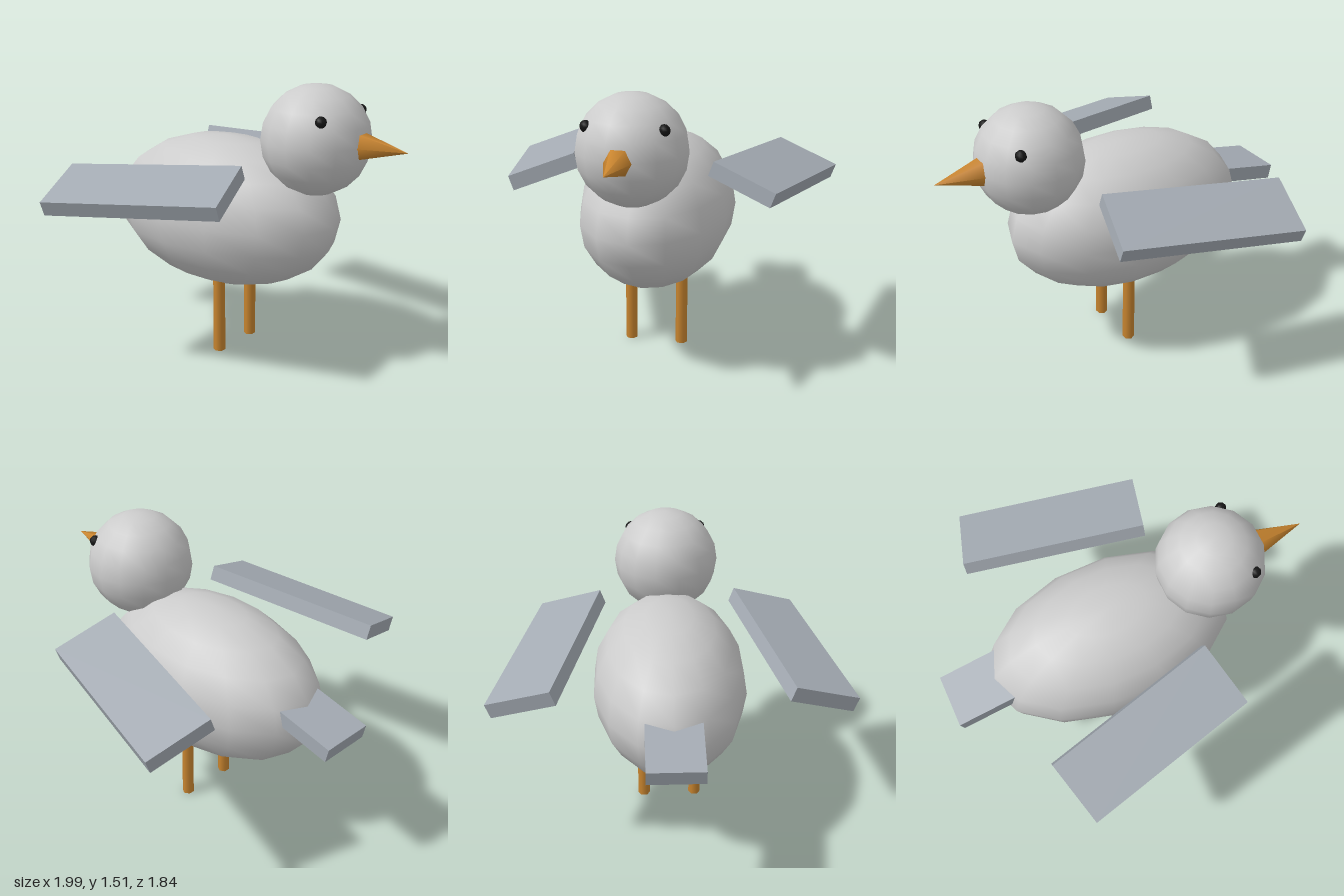
import * as THREE from 'three';

const paint = (color) => new THREE.MeshStandardMaterial({ color });

export function createModel() {
  const bird = new THREE.Group();
  bird.name = 'bird';
  const plumage = paint(0xcccccc);
  const feather = paint(0xa4abb3);
  const horn = paint(0xc9852f);
  const black = paint(0x151515);

  const add = (name, geometry, material, position, rotation = [0, 0, 0]) => {
    const mesh = new THREE.Mesh(geometry, material);
    mesh.name = name;
    mesh.position.set(...position);
    mesh.rotation.set(...rotation);
    bird.add(mesh);
    return mesh;
  };

  // Egg-shaped body, long along x, and round head
  add('body', new THREE.SphereGeometry(0.41, 14, 10), plumage, [-0.085, 0.773, 0]).scale.x = 1.67;
  add('head', new THREE.SphereGeometry(0.284, 14, 10), plumage, [0.48, 1.23, 0], [0, Math.PI / 2, 0]);

  // Six-sided beak pointing along +x
  add('beak', new THREE.ConeGeometry(0.071, 0.25, 6), horn, [0.87, 1.23, 0], [0, 0, -Math.PI / 2]);

  // Tail slab sloping down to the back
  add('tail', new THREE.BoxGeometry(0.4, 0.08, 0.285), feather, [-0.796, 0.825, 0], [0, 0, 0.21]);

  // Paired parts, mirrored in z
  for (const [side, s] of [['left', -1], ['right', 1]]) {
    add(side + 'Wing', new THREE.BoxGeometry(0.965, 0.08, 0.36), feather,
      [-0.143, 1.0, 0.628 * s], [0.35 * s, 0.25 * s, 0]);
    add(side + 'Eye', new THREE.SphereGeometry(0.03, 8, 6), black, [0.622, 1.367, 0.192 * s]);
    add(side + 'Leg', new THREE.CylinderGeometry(0.0325, 0.0325, 0.42, 6), horn, [-0.03, 0.21, 0.143 * s]);
  }
  return bird;
}
